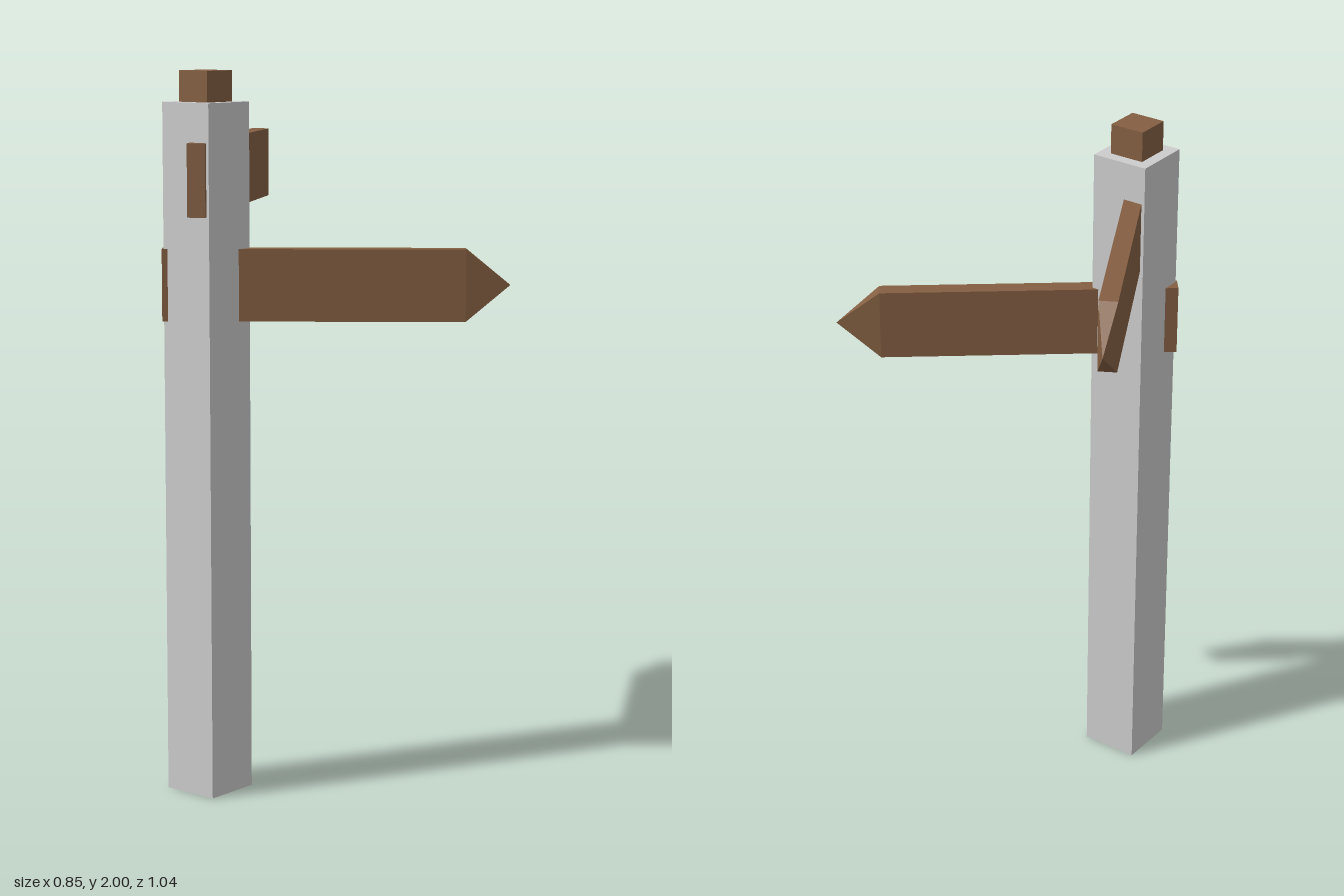
import * as THREE from 'three';

const stone = new THREE.MeshStandardMaterial({ color: 0xcccccc });
stone.name = 'pale stone';
const wood = new THREE.MeshStandardMaterial({ color: 0x845f42 });
wood.name = 'brown wood';

const POST_X = -0.307, POST_Z = -0.128;

function addBox(parent, name, material, size, position) {
  const mesh = new THREE.Mesh(new THREE.BoxGeometry(...size), material);
  mesh.name = name;
  mesh.position.set(...position);
  parent.add(mesh);
}

// Plank along local +x from the origin, ending in a four-sided pointed tip
function makeSign(name, back, y, angle, thickness) {
  const length = 0.827, tip = 0.122, height = 0.198;
  const sign = new THREE.Group();
  sign.name = name;
  addBox(sign, name + 'Plank', wood, [length, height, thickness], [length / 2, 0, 0]);

  // Square pyramid: a unit cone squared up, laid along x and scaled
  const point = new THREE.ConeGeometry(Math.SQRT1_2, 1, 4, 1, true)
    .rotateY(Math.PI / 4)
    .rotateZ(-Math.PI / 2)
    .scale(tip, height, thickness)
    .translate(length + tip / 2, 0, 0)
    .toNonIndexed();
  point.computeVertexNormals();
  const tipMesh = new THREE.Mesh(point, wood);
  tipMesh.name = name + 'Tip';
  sign.add(tipMesh);

  sign.position.set(back[0], y, back[1]);
  sign.rotation.y = angle;
  return sign;
}

export function createModel() {
  const model = new THREE.Group();
  model.name = 'signpost';

  // Square post with a wooden core showing above it
  addBox(model, 'post', stone, [0.166, 1.916, 0.166], [POST_X, 0.958, POST_Z]);
  addBox(model, 'core', wood, [0.101, 1.998, 0.101], [POST_X, 1.001, POST_Z]);

  // Two direction signs passing through the post
  model.add(makeSign('upperSign', [-0.413, -0.07], 1.711, Math.atan2(0.395, 0.726), 0.05));
  model.add(makeSign('lowerSign', [-0.381, -0.224], 1.42, -Math.atan2(0.649, 0.515), 0.048));

  return model;
}
